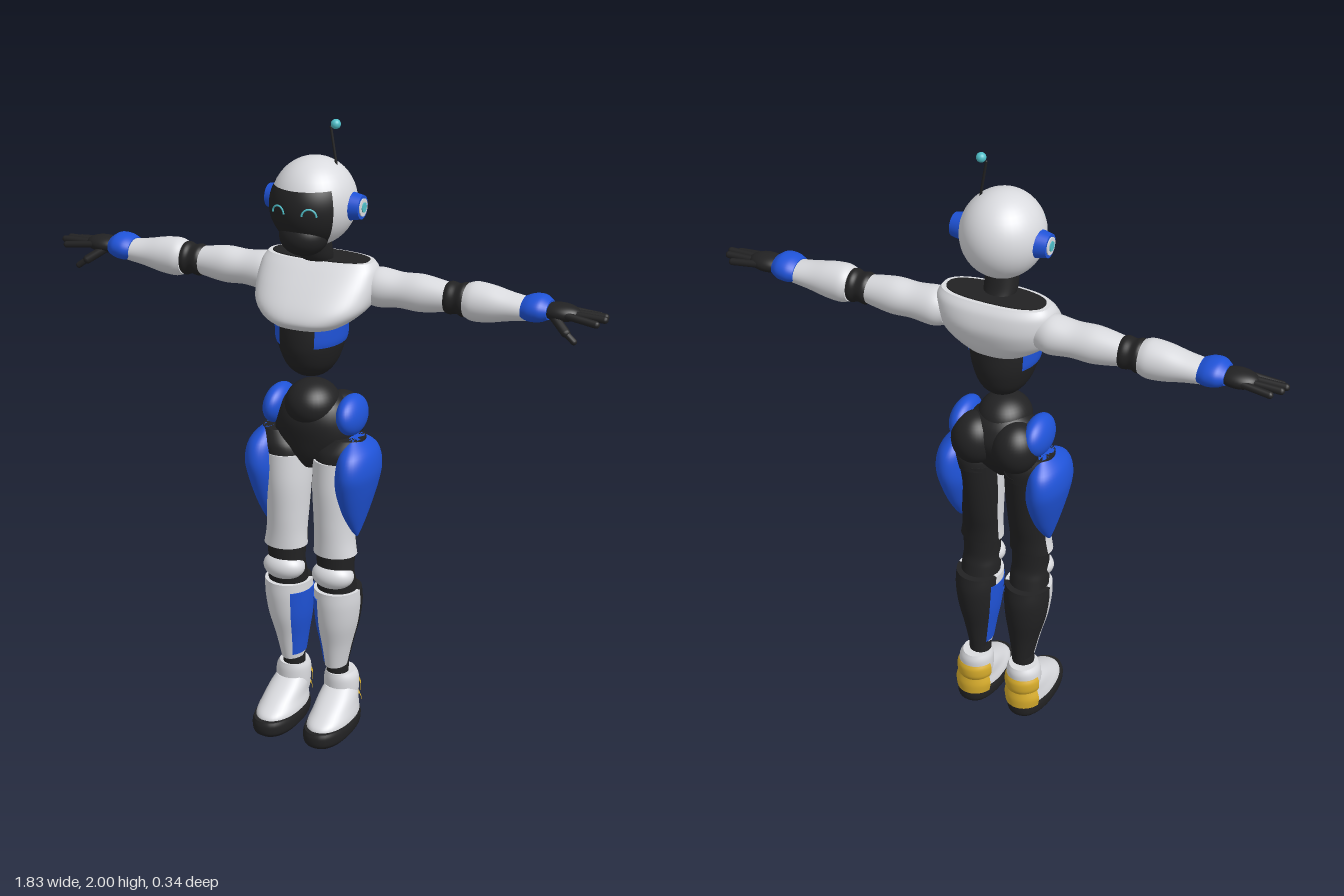
import * as THREE from 'three';

const mat = (name, color) => new THREE.MeshStandardMaterial({ name, color });
const RAD = Math.PI / 180;

// Catmull-Rom interpolation of the section table at t in 0..1
function section(rows, t) {
  const f = t * (rows.length - 1), i = Math.min(Math.floor(f), rows.length - 2), u = f - i;
  const at = k => rows[Math.max(0, Math.min(rows.length - 1, k))];
  const [a, b, c, d] = [at(i - 1), at(i), at(i + 1), at(i + 2)];
  return b.map((_, k) => b[k] + 0.5 * u * (c[k] - a[k]
    + u * (2 * a[k] - 5 * b[k] + 4 * c[k] - d[k] + u * (3 * (b[k] - c[k]) + d[k] - a[k]))));
}

// Stacked elliptical sections [y, centreX, centreZ, radiusX, radiusZ], lowest first.
// Angles run from the front (+z) towards +x; p > 2 makes the sections boxier.
function loft(rows, { from = 0, to = 360, p = 2, grow = 0, seg = 40 } = {}) {
  const pos = [], index = [], n = (rows.length - 1) * 6, full = to - from === 360;
  const cols = full ? seg : seg + 1;
  const pw = v => Math.sign(v) * Math.abs(v) ** (2 / p);
  const ring = s => {
    const start = pos.length / 3;
    for (let j = 0; j < cols; j++) {
      const a = (from + (to - from) * j / seg) * RAD;
      pos.push(s[1] + (s[3] + grow) * pw(Math.sin(a)), s[0], s[2] + (s[4] + grow) * pw(Math.cos(a)));
    }
    return start;
  };
  for (let i = 0; i <= n; i++) ring(section(rows, i / n));
  for (let i = 0; i < n; i++) for (let j = 0; j < seg; j++) {
    const k = (j + 1) % cols, a = i * cols, b = a + cols;
    index.push(a + j, a + k, b + k, a + j, b + k, b + j);
  }
  // flat end caps with their own vertices
  for (const [s, top] of [[rows[0], false], [rows[rows.length - 1], true]]) {
    const r = ring(s), c = pos.length / 3;
    pos.push(s[1], s[0], s[2]);
    for (let j = 0; j < seg; j++) {
      const k = r + (j + 1) % cols;
      index.push(c, top ? r + j : k, top ? k : r + j);
    }
  }
  const g = new THREE.BufferGeometry();
  g.setAttribute('position', new THREE.Float32BufferAttribute(pos, 3));
  g.setIndex(index);
  g.computeVertexNormals();
  return g;
}

export function createModel() {
  const white = mat('shell white', 0xdadbdf), black = mat('joint black', 0x222223);
  const blue = mat('panel blue', 0x1f53d8), cyan = mat('light cyan', 0x4fbfc9), gold = mat('heel gold', 0xd8ad2c);
  const model = new THREE.Group();
  model.name = 'robot';

  const add = (parent, name, geo, m, x = 0, y = 0, z = 0) => {
    const mesh = new THREE.Mesh(geo, m);
    mesh.name = name;
    mesh.position.set(x, y, z);
    parent.add(mesh);
    return mesh;
  };
  const ball = (parent, name, m, c, r) => {
    const mesh = add(parent, name, new THREE.SphereGeometry(1, 36, 24), m, ...c);
    mesh.scale.set(...r);
    return mesh;
  };
  const rod = (parent, name, m, a, b, r) => {
    const A = new THREE.Vector3(...a), B = new THREE.Vector3(...b), d = B.clone().sub(A);
    const mesh = add(parent, name, new THREE.CapsuleGeometry(r, d.length(), 5, 12), m);
    mesh.position.copy(A).add(B).multiplyScalar(0.5);
    mesh.quaternion.setFromUnitVectors(new THREE.Vector3(0, 1, 0), d.normalize());
  };

  // Head
  const head = new THREE.Group();
  head.name = 'head';
  model.add(head);
  ball(head, 'helmet', white, [0, 1.75, -0.022], [0.128, 0.135, 0.136]);
  const facePatch = new THREE.SphereGeometry(1, 32, 24, (90 - 53) * RAD, 106 * RAD, 64 * RAD, 92 * RAD);
  add(head, 'face', facePatch, black, 0, 1.75, -0.02).scale.set(0.132, 0.139, 0.15);
  ball(head, 'chin', black, [0, 1.662, 0.05], [0.075, 0.062, 0.07]);
  add(head, 'neck', loft([[1.55, 0, -0.055, 0.045, 0.042], [1.585, 0, -0.035, 0.052, 0.046],
    [1.65, 0, -0.02, 0.05, 0.045]]), black);
  rod(head, 'antenna', black, [0.065, 1.86, -0.037], [0.046, 1.975, -0.037], 0.004);
  ball(head, 'antennaTip', cyan, [0.062, 1.985, -0.037], [0.015, 0.015, 0.015]);
  for (const s of [-1, 1]) {
    const eye = add(head, 'eye', new THREE.TorusGeometry(0.022, 0.003, 6, 20, Math.PI), cyan, s * 0.05, 1.742, 0.12);
    eye.rotation.y = s * 0.3;
    for (const [name, m, r1, r2, x, h] of [['earPad', blue, 0.036, 0.044, 0.134, 0.04],
      ['earRing', white, 0.027, 0.027, 0.1545, 0.006], ['earLight', cyan, 0.015, 0.015, 0.1575, 0.006]]) {
      const ear = add(head, name, new THREE.CylinderGeometry(r1, r2, h, 32), m, s * x, 1.745, -0.03);
      ear.rotation.z = -s * Math.PI / 2;
    }
  }

  // Torso
  add(model, 'chest', loft([[1.383, 0, -0.005, 0.112, 0.118], [1.405, 0, -0.005, 0.145, 0.134],
    [1.44, 0, -0.02, 0.178, 0.136], [1.49, 0, -0.046, 0.19, 0.122],
    [1.54, 0, -0.065, 0.187, 0.094], [1.567, 0, -0.07, 0.172, 0.07]], { p: 2.5, seg: 56 }), white);
  add(model, 'collar', loft([[1.56, 0, -0.07, 0.158, 0.058], [1.57, 0, -0.07, 0.158, 0.058]], { p: 2.5 }), black);
  const belly = [[1.205, 0, -0.01, 0.012, 0.012], [1.215, 0, -0.01, 0.045, 0.055], [1.25, 0, -0.007, 0.075, 0.095],
    [1.3, 0, -0.005, 0.095, 0.115], [1.345, 0, -0.005, 0.104, 0.12], [1.4, 0, -0.005, 0.106, 0.117]];
  add(model, 'abdomen', loft(belly), black);
  for (const [from, to] of [[32, 125], [235, 328]])
    add(model, 'ribPanel', loft([[1.325, 0, -0.005, 0.1, 0.118], ...belly.slice(4)], { from, to, grow: 0.005 }), blue);

  // Pelvis
  ball(model, 'waistBall', black, [0, 1.11, -0.01], [0.085, 0.076, 0.092]);
  add(model, 'pelvis', loft([[0.905, 0, -0.01, 0.025, 0.035], [0.945, 0, -0.015, 0.075, 0.065],
    [1.0, 0, -0.025, 0.125, 0.088], [1.06, 0, -0.03, 0.125, 0.1], [1.11, 0, -0.03, 0.105, 0.085],
    [1.14, 0, -0.03, 0.07, 0.06]]), black);

  for (const side of [1, -1]) {
    const half = new THREE.Group();
    half.name = side > 0 ? 'leftSide' : 'rightSide';
    half.scale.x = side;
    model.add(half);

    // Arm, modelled upright and laid out along x
    const arm = new THREE.Group();
    arm.name = 'arm';
    arm.position.set(0, 1.488, -0.083);
    arm.rotation.z = -Math.PI / 2;
    half.add(arm);
    add(arm, 'upperArm', loft([[0.15, 0, 0, 0.05, 0.05], [0.19, 0, 0, 0.061, 0.062], [0.26, 0, 0, 0.054, 0.058],
      [0.33, 0, 0, 0.057, 0.057], [0.415, 0, 0, 0.044, 0.046]]), white);
    add(arm, 'elbow', loft([[0.4, 0, 0, 0.04, 0.04], [0.42, 0, 0, 0.05, 0.05], [0.445, 0, 0, 0.046, 0.047],
      [0.465, 0, 0, 0.053, 0.051], [0.485, 0, 0, 0.045, 0.045]]), black);
    add(arm, 'forearm', loft([[0.474, 0, 0, 0.052, 0.054], [0.5, 0, 0, 0.06, 0.06], [0.55, 0, 0, 0.056, 0.058],
      [0.61, 0, 0, 0.043, 0.051], [0.668, 0, 0, 0.034, 0.046]]), white);
    add(arm, 'wrist', loft([[0.655, -0.005, 0, 0.034, 0.05], [0.68, -0.008, 0, 0.041, 0.059],
      [0.71, -0.01, 0, 0.04, 0.057], [0.733, -0.008, 0, 0.028, 0.042]]), blue);

    // Hand
    ball(half, 'palm', black, [0.765, 1.495, -0.083], [0.062, 0.027, 0.043]);
    [[-0.12, 0.872, 1.488], [-0.096, 0.897, 1.494], [-0.071, 0.903, 1.494], [-0.048, 0.885, 1.484]].forEach(([z, x, y]) =>
      rod(half, 'finger', black, [0.785, 1.496, -0.083 + (z + 0.083) * 0.8], [x, y, z], 0.011));
    rod(half, 'thumb', black, [0.752, 1.485, -0.06], [0.8, 1.452, -0.03], 0.014);
    rod(half, 'thumbTip', black, [0.8, 1.452, -0.03], [0.828, 1.431, -0.024], 0.01);

    // Hip
    ball(half, 'buttock', black, [0.068, 1.05, -0.078], [0.075, 0.085, 0.078]);
    ball(half, 'hipPad', blue, [0.125, 1.083, -0.03], [0.04, 0.063, 0.083]).rotation.z = 0.12;
    add(half, 'hipJoint', loft([[0.93, 0.085, -0.018, 0.073, 0.088], [0.975, 0.095, -0.02, 0.076, 0.085],
      [1.015, 0.115, -0.022, 0.055, 0.06]]), black);
    add(half, 'hipGuard', loft([[0.69, 0.153, -0.01, 0.004, 0.005], [0.72, 0.15, -0.011, 0.018, 0.032],
      [0.78, 0.148, -0.013, 0.038, 0.072], [0.86, 0.15, -0.015, 0.057, 0.106], [0.92, 0.155, -0.015, 0.06, 0.116],
      [0.975, 0.153, -0.017, 0.049, 0.098], [1.015, 0.145, -0.02, 0.018, 0.045]]), blue);

    // Thigh: white front shell, black back
    const thigh = [[0.628, 0.086, 0.004, 0.07, 0.062], [0.68, 0.083, 0.002, 0.065, 0.065], [0.75, 0.081, -0.003, 0.066, 0.074],
      [0.85, 0.081, -0.008, 0.071, 0.085], [0.945, 0.083, -0.016, 0.073, 0.09]];
    add(half, 'thighShell', loft(thigh, { from: -108, to: 108 }), white);
    add(half, 'thighBack', loft(thigh, { from: 108, to: 252 }), black);

    // Knee
    add(half, 'knee', loft([[0.49, 0.086, -0.013, 0.064, 0.062], [0.53, 0.085, -0.005, 0.063, 0.06],
      [0.57, 0.085, 0, 0.06, 0.055], [0.64, 0.086, 0, 0.063, 0.056]]), black);
    ball(half, 'kneecap', white, [0.085, 0.553, 0.02], [0.069, 0.045, 0.052]);

    // Lower leg: white shin, black calf, blue inner panel
    const shin = [[0.22, 0.077, -0.03, 0.035, 0.05], [0.3, 0.08, -0.027, 0.05, 0.063], [0.38, 0.084, -0.023, 0.067, 0.08],
      [0.45, 0.086, -0.02, 0.075, 0.086], [0.5, 0.086, -0.015, 0.075, 0.08]];
    add(half, 'shin', loft(shin, { from: -110, to: 92 }), white);
    add(half, 'calf', loft(shin, { from: 92, to: 250 }), black);
    add(half, 'innerPanel', loft([[0.237, 0.078, -0.029, 0.038, 0.053], ...shin.slice(1, 3),
      [0.472, 0.086, -0.018, 0.075, 0.085]], { from: -125, to: -30, grow: 0.003 }), blue);

    // Ankle and shoe
    add(half, 'ankle', new THREE.CylinderGeometry(0.036, 0.036, 0.08, 28), black, 0.077, 0.205, -0.035);
    add(half, 'ankleCuff', loft([[0.09, 0.086, -0.045, 0.052, 0.058], [0.13, 0.086, -0.047, 0.056, 0.058],
      [0.17, 0.085, -0.048, 0.055, 0.058], [0.192, 0.083, -0.046, 0.046, 0.052]]), white);
    add(half, 'shoeUpper', loft([[0.04, 0.09, 0.025, 0.069, 0.13], [0.065, 0.09, 0.022, 0.067, 0.126],
      [0.09, 0.09, 0.005, 0.062, 0.105], [0.12, 0.088, -0.02, 0.057, 0.078], [0.145, 0.086, -0.04, 0.048, 0.055]],
    { p: 2.2 }), white);
    add(half, 'sole', loft([[0, 0.09, 0.03, 0.058, 0.125], [0.015, 0.09, 0.032, 0.069, 0.14],
      [0.04, 0.09, 0.032, 0.072, 0.142], [0.056, 0.09, 0.031, 0.068, 0.137]], { p: 2.3 }), black);
    add(half, 'heelBand', loft([[0.1, 0.086, -0.047, 0.054, 0.058], [0.115, 0.086, -0.047, 0.06, 0.064],
      [0.14, 0.086, -0.047, 0.06, 0.064], [0.155, 0.086, -0.047, 0.054, 0.058]], { from: 103, to: 257, grow: 0.002 }), gold);
    add(half, 'heelCup', loft([[0.045, 0.088, -0.045, 0.058, 0.063], [0.075, 0.088, -0.045, 0.062, 0.063],
      [0.102, 0.087, -0.045, 0.055, 0.057]], { from: 110, to: 250, grow: 0.004 }), gold);
  }
  return model;
}
